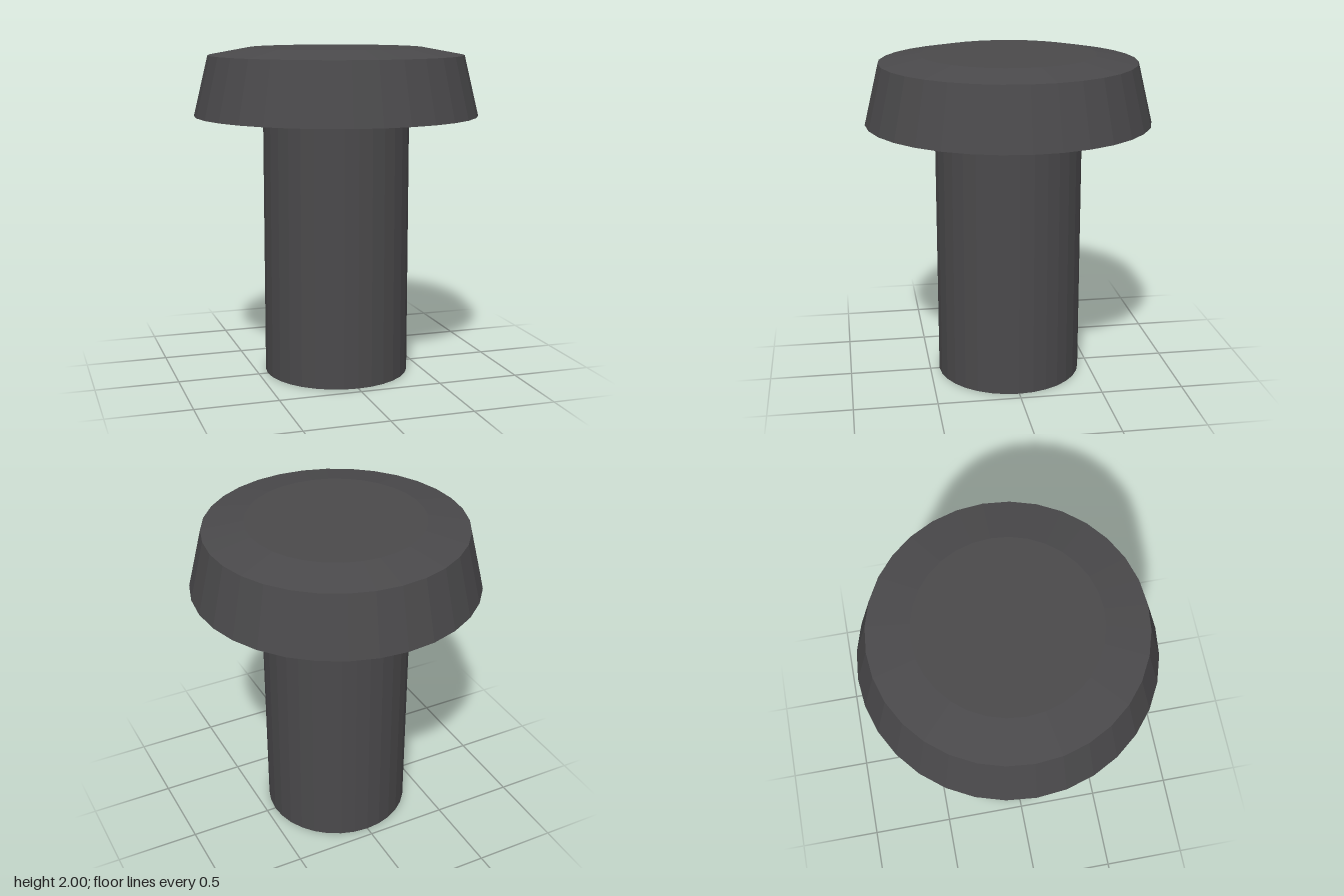
import * as THREE from 'three';

const SIDES = 32;

export function createModel() {
  const group = new THREE.Group();
  const material = new THREE.MeshStandardMaterial({ color: 0x4a494b, flatShading: true });

  // Closed faceted solid turned from [radius, height] pairs, bottom to top
  const turned = (name, profile) => {
    const points = profile.map(([r, y]) => new THREE.Vector2(r, y));
    const mesh = new THREE.Mesh(new THREE.LatheGeometry(points, SIDES), material);
    mesh.name = name;
    group.add(mesh);
  };

  // Plain cylindrical shaft, ending at the underside of the head
  turned('shaft', [[0, 0], [0.443, 0], [0.443, 1.595]]);

  // Tapered head with a shallow bevel around its flat top
  turned('head', [[0.443, 1.595], [0.857, 1.595], [0.77, 1.955], [0.525, 2], [0, 2]]);

  return group;
}
